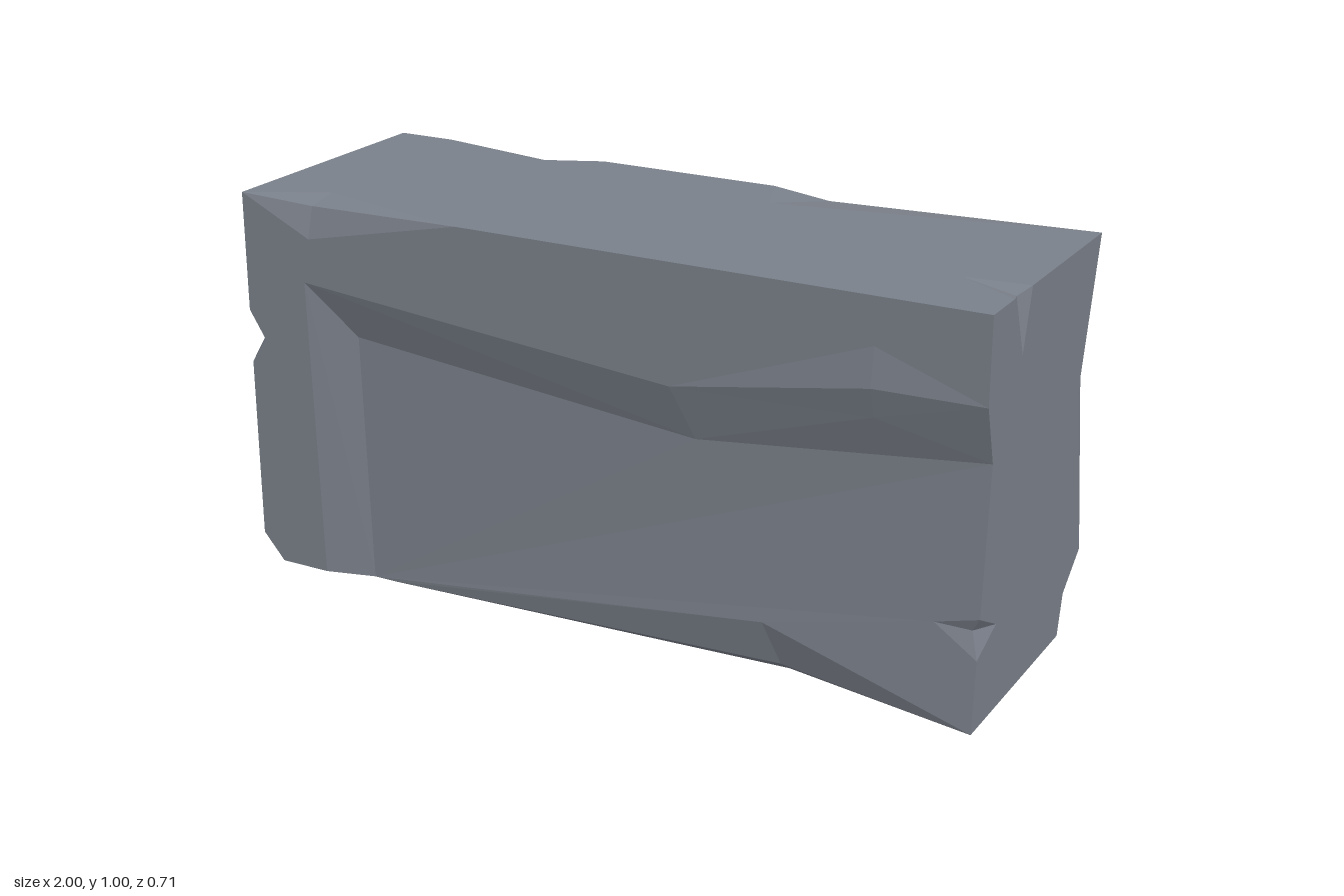
import * as THREE from 'three';

const F = 0.345, B = -0.355; // front and back planes
const CENTRE = new THREE.Vector3(0, 0.5, 0);
const vec = (p) => new THREE.Vector3(...p);

// Flat or folded panel: triangulates its outline as seen along an axis (0 x, 1 y, 2 z)
function panel(axis, sign, pts) {
  const u = (axis + 1) % 3, v = (axis + 2) % 3;
  const flat = pts.map((p) => new THREE.Vector2(p[u], p[v]));
  const ccw = !THREE.ShapeUtils.isClockWise(flat);
  const loop = ccw ? pts : [...pts].reverse();
  const tris = THREE.ShapeUtils.triangulateShape(loop.map((p) => new THREE.Vector2(p[u], p[v])), []);
  return tris.flatMap(([a, b, c]) => (sign > 0 ? [a, b, c] : [a, c, b]).flatMap((i) => loop[i]));
}

// Chip: a ring of points on the block's surface, fanned to a sunken point
function chip(sunk, ring) {
  const area = new THREE.Vector3(), mid = new THREE.Vector3();
  ring.forEach((p, i) => {
    area.add(vec(p).cross(vec(ring[(i + 1) % ring.length])));
    mid.addScaledVector(vec(p), 1 / ring.length);
  });
  const loop = area.dot(mid.sub(CENTRE)) > 0 ? ring : [...ring].reverse();
  return loop.flatMap((p, i) => [...p, ...loop[(i + 1) % loop.length], ...sunk]);
}

export function createModel() {
  const group = new THREE.Group();
  group.name = 'stoneBlock';
  const stone = new THREE.MeshStandardMaterial({ color: 0x7a808a, flatShading: true });
  stone.name = 'grey stone';

  const add = (name, ...parts) => {
    const geo = new THREE.BufferGeometry();
    geo.setAttribute('position', new THREE.Float32BufferAttribute(parts.flat(), 3));
    geo.computeVertexNormals();
    const mesh = new THREE.Mesh(geo, stone);
    mesh.name = name;
    group.add(mesh);
  };

  // Main sides, with notched outlines where chips bite in
  add('topFace', panel(1, 1, [
    [-1, 1, F], [-0.8, 1, 0.24], [-0.36, 1, F], [1, 1, F], [1, 1, 0.22], [0.84, 1, 0.125], [1, 1, 0.11],
    [1, 1, B], [0.2, 1, -0.205], [0.14, 1, B], [-0.36, 1, B], [-0.52, 1, -0.285], [-0.84, 1, B], [-1, 1, B]]));
  add('bottomFace', panel(1, -1, [
    [-0.94, 0, F], [-0.8, 0, F], [-0.67, 0, 0.31], [-0.61, 0, 0.31], [0.5, 0, 0.25], [1, 0, F],
    [1, 0, -0.225], [0.82, 0, B], [0.285, 0, B], [0.26, 0, -0.115], [0.175, 0, B], [-0.94, 0, B]]));
  add('leftFace', panel(0, 1, [
    [1, 1, F], [1, 0.79, F], [1, 0.645, 0.3], [1, 0.28, 0.325], [1, 0.225, 0.22], [1, 0.18, 0.332], [1, 0, F],
    [1, 0, -0.225], [1, 0.105, -0.25], [1, 0.185, B], [1, 0.63, -0.26], [1, 1, B],
    [1, 1, 0.11], [1, 0.85, 0.15], [1, 1, 0.22]]));
  add('rightFace', panel(0, -1, [
    [-1, 1, F], [-1, 0.69, F], [-1, 0.61, 0.28], [-1, 0.55, F], [-1, 0.07, F],
    [-1, 0.04, B], [-1, 0.72, -0.275], [-1, 1, B]]));
  add('backFace', panel(2, -1, [
    [1, 1, B], [0.36, 0.9, B], [0.14, 1, B], [-0.36, 1, B], [-0.5, 0.89, B], [-0.84, 1, B], [-1, 1, B],
    [-0.91, 0.79, B], [-1, 0.04, B], [-0.94, 0, B], [0.175, 0, B], [0.27, 0.5, B], [0.285, 0, B],
    [0.82, 0, B], [0.88, 0.15, B], [1, 0.185, B], [0.88, 0.66, B]]));
  add('frontFace', panel(2, 1, [
    [-1, 1, F], [-0.8, 0.905, F], [-0.36, 1, F], [1, 1, F], [1, 0.79, F], [0.73, 0.885, F], [0.22, 0.7, F],
    [-0.82, 0.79, F], [-0.8, 0, F], [-0.94, 0, F], [-1, 0.07, F], [-1, 0.55, F], [-0.95, 0.61, F], [-1, 0.69, F]]));

  // Split-away front: sloping walls around a sunken field
  const cornerOut = [-0.82, 0.79, F], cornerIn = [-0.69, 0.655, 0.305];
  const midOut = [0.22, 0.7, F], midIn = [0.27, 0.565, 0.305];
  const endOut = [1, 0.79, F], endIn = [1, 0.645, 0.3];
  const lip = [0.73, 0.715, 0.335], bump = [0.73, 0.79, 0.357], bumpTop = [0.73, 0.885, F];
  add('recessWalls',
    panel(2, 1, [cornerOut, [-0.8, 0, F], [-0.67, 0, 0.31], cornerIn]),
    panel(2, 1, [cornerOut, cornerIn, midIn, midOut]),
    panel(2, 1, [midOut, midIn, lip]),
    panel(2, 1, [midIn, endIn, lip]),
    panel(2, 1, [endIn, endOut, lip]));
  add('recessBump', chip(bump, [midOut, lip, endOut, bumpTop]));
  add('recessField', panel(2, 1, [
    cornerIn, [-0.67, 0, 0.31], [-0.61, 0, 0.31], [0.46, 0.145, 0.325], [1, 0, F], [1, 0.18, 0.332],
    [0.89, 0.25, 0.325], [1, 0.28, 0.325], endIn, midIn]));

  // Worn lower right edge
  add('bottomBevel', panel(0, -1, [[-1, 0.07, F], [-0.94, 0, F], [-0.94, 0, B], [-1, 0.04, B]]));

  // Chips along the edges
  add('frontTopChip', chip([-0.8, 0.985, 0.322],
    [[-1, 1, F], [-0.8, 1, 0.24], [-0.36, 1, F], [-0.8, 0.905, F]]));
  add('frontBottomChip', chip([0.5, 0.035, 0.3],
    [[-0.61, 0, 0.31], [0.46, 0.145, 0.325], [1, 0, F], [0.5, 0, 0.25]]));
  add('frontRightNotch', chip([-0.965, 0.61, 0.33],
    [[-1, 0.69, F], [-0.95, 0.61, F], [-1, 0.55, F], [-1, 0.61, 0.28]]));
  add('frontLeftNotch', chip([0.98, 0.245, 0.315],
    [[1, 0.28, 0.325], [1, 0.225, 0.22], [1, 0.18, 0.332], [0.89, 0.25, 0.325]]));
  add('topLeftNotch', chip([0.98, 0.985, 0.155],
    [[1, 1, 0.22], [0.84, 1, 0.125], [1, 1, 0.11], [1, 0.85, 0.15]]));
  add('backTopChipSmall', chip([-0.52, 0.985, -0.338],
    [[-0.84, 1, B], [-0.52, 1, -0.285], [-0.36, 1, B], [-0.5, 0.89, B]]));
  add('backTopChipLarge', chip([0.3, 0.985, -0.342],
    [[0.14, 1, B], [0.2, 1, -0.205], [1, 1, B], [0.36, 0.9, B]]));
  add('backLeftEdgeChip', chip([0.975, 0.68, -0.338],
    [[1, 1, B], [1, 0.63, -0.26], [1, 0.185, B], [0.88, 0.66, B]]));
  add('backRightEdgeChip', chip([-0.975, 0.6, -0.335],
    [[-1, 1, B], [-1, 0.72, -0.275], [-1, 0.04, B], [-0.91, 0.79, B]]));
  add('backBottomCrack', chip([0.24, 0.03, -0.32],
    [[0.285, 0, B], [0.27, 0.5, B], [0.175, 0, B], [0.26, 0, -0.115]]));
  add('backCornerBreak', chip([0.92, 0.09, -0.3],
    [[1, 0, -0.225], [1, 0.105, -0.25], [1, 0.185, B], [0.88, 0.15, B], [0.82, 0, B]]));

  return group;
}
